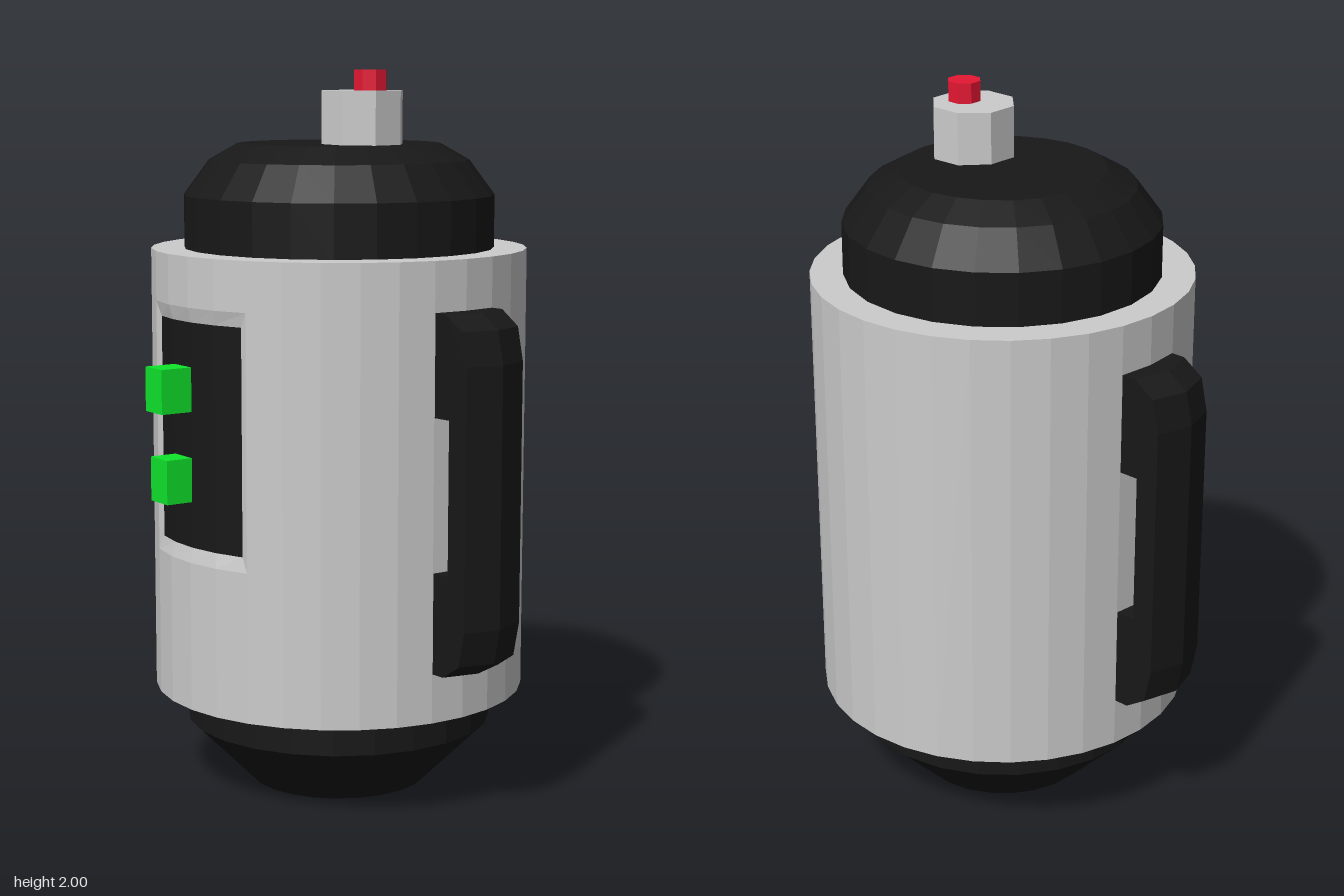
import * as THREE from 'three';

const paint = (color, side = THREE.FrontSide) =>
  new THREE.MeshStandardMaterial({ color, flatShading: true, side });
const GREY = paint(0xcccccc);
const BLACK = paint(0x181818);
const GREEN = paint(0x0fe62b);
const RED = paint(0xe61733);

const R = 0.52, Y0 = 0.28, Y1 = 1.515;      // main barrel
const GAP = Math.PI / 8;                    // half angle of the panel recess
const P0 = 0.69, P1 = 1.38;                 // recess bottom and top

function part(parent, name, geometry, material, x = 0, y = 0, z = 0) {
  const mesh = new THREE.Mesh(geometry, material);
  mesh.name = name;
  mesh.position.set(x, y, z);
  parent.add(mesh);
  return mesh;
}

// Open piece of cylinder wall between two heights and two angles (0 = front)
function wall(parent, name, r, y0, y1, a0, a1, segments, material) {
  const g = new THREE.CylinderGeometry(r, r, y1 - y0, segments, 1, true, a0, a1 - a0);
  return part(parent, name, g, material, 0, (y0 + y1) / 2, 0);
}

// Loop of points around a rectangle wrapped on a cylinder
function wrappedLoop(r, half, y0, y1) {
  const points = [];
  for (let i = 0; i < 10; i++) {
    const low = i < 5;
    const a = half * (low ? i / 2 - 1 : 1 - (i - 5) / 2);
    points.push([r * Math.sin(a), low ? y0 : y1, r * Math.cos(a)]);
  }
  return points;
}

// Sloping rim joining the barrel to the sunken panel
function rimGeometry() {
  const outer = wrappedLoop(R, GAP, P0, P1);
  const inner = wrappedLoop(R - 0.01, 0.355, 0.73, 1.34);
  const pos = [];
  for (let i = 0; i < 10; i++) {
    const j = (i + 1) % 10;
    pos.push(...outer[i], ...outer[j], ...inner[j], ...outer[i], ...inner[j], ...inner[i]);
  }
  const g = new THREE.BufferGeometry();
  g.setAttribute('position', new THREE.Float32BufferAttribute(pos, 3));
  g.computeVertexNormals();
  return g;
}

// C-shaped grip, extruded in two steps with its outer middle pushed to a ridge
function handleGeometry() {
  const outline = [
    [0.49, 0.415], [0.55, 0.415], [0.61, 0.455], [0.63, 0.55],
    [0.63, 1.25], [0.61, 1.34], [0.55, 1.38], [0.49, 1.38],
    [0.49, 1.105], [0.565, 1.105], [0.565, 0.69], [0.49, 0.69],
  ].map(([x, y]) => new THREE.Vector2(x, y));
  const g = new THREE.ExtrudeGeometry(new THREE.Shape(outline), {
    depth: 0.2, steps: 2, bevelEnabled: false,
  });
  g.translate(0, 0, -0.1);
  const p = g.attributes.position;
  for (let i = 0; i < p.count; i++) {
    const outside = p.getX(i) > 0.6 || (p.getX(i) > 0.54 && (p.getY(i) < 0.5 || p.getY(i) > 1.3));
    if (outside && Math.abs(p.getZ(i)) < 0.01) p.setX(i, p.getX(i) + 0.03);
  }
  g.computeVertexNormals();
  return g;
}

function lathe(profile, segments) {
  return new THREE.LatheGeometry(profile.map(([r, y]) => new THREE.Vector2(r, y)), segments, 0.06);
}

export function createModel() {
  const model = new THREE.Group();
  model.name = 'canister';
  const root = new THREE.Group();
  root.name = 'canisterParts';
  root.position.z = -0.04;
  model.add(root);

  // Barrel with an opening for the panel
  const barrel = new THREE.Group();
  barrel.name = 'barrel';
  root.add(barrel);
  wall(barrel, 'barrelWall', R, Y0, Y1, GAP, 2 * Math.PI - GAP, 28, GREY);
  wall(barrel, 'wallBelowPanel', R, Y0, P0, -GAP, GAP, 4, GREY);
  wall(barrel, 'wallAbovePanel', R, P1, Y1, -GAP, GAP, 4, GREY);
  const disc = new THREE.CircleGeometry(R, 32);
  part(barrel, 'barrelTop', disc, GREY, 0, Y1, 0).rotation.x = -Math.PI / 2;
  part(barrel, 'barrelBottom', disc, GREY, 0, Y0, 0).rotation.x = Math.PI / 2;

  // Sunken control panel and its buttons
  part(root, 'panelRim', rimGeometry(), GREY);
  wall(root, 'panel', R - 0.01, 0.73, 1.34, -0.355, 0.355, 4, BLACK);
  for (const [name, y, front] of [['upperButton', 1.16, 0.597], ['lowerButton', 0.915, 0.583]]) {
    const button = part(root, name, new THREE.BoxGeometry(0.085, 0.12, 0.1), GREEN,
      -0.047, y, front - 0.05);
    button.rotation.y = -0.09;
  }

  // End caps
  part(root, 'topCap', lathe([[0.43, 1.5], [0.43, 1.66], [0.36, 1.755], [0.28, 1.8], [0, 1.805]], 24), BLACK);
  part(root, 'bottomCap', lathe([[0, 0], [0.25, 0], [0.43, 0.18], [0.43, 0.3]], 24), BLACK);

  // Side handles
  const grip = handleGeometry();
  part(root, 'leftHandle', grip, BLACK);
  part(root, 'rightHandle', grip, BLACK).rotation.y = Math.PI;

  // Octagonal valve and trigger
  const valve = part(root, 'valve', new THREE.CylinderGeometry(0.115, 0.115, 0.185, 8), GREY, 0.132, 1.8525, 0.028);
  const trigger = part(root, 'trigger', new THREE.CylinderGeometry(0.046, 0.046, 0.08, 8), RED, 0.165, 1.96, 0.028);
  valve.rotation.y = trigger.rotation.y = Math.PI / 8;

  return model;
}
